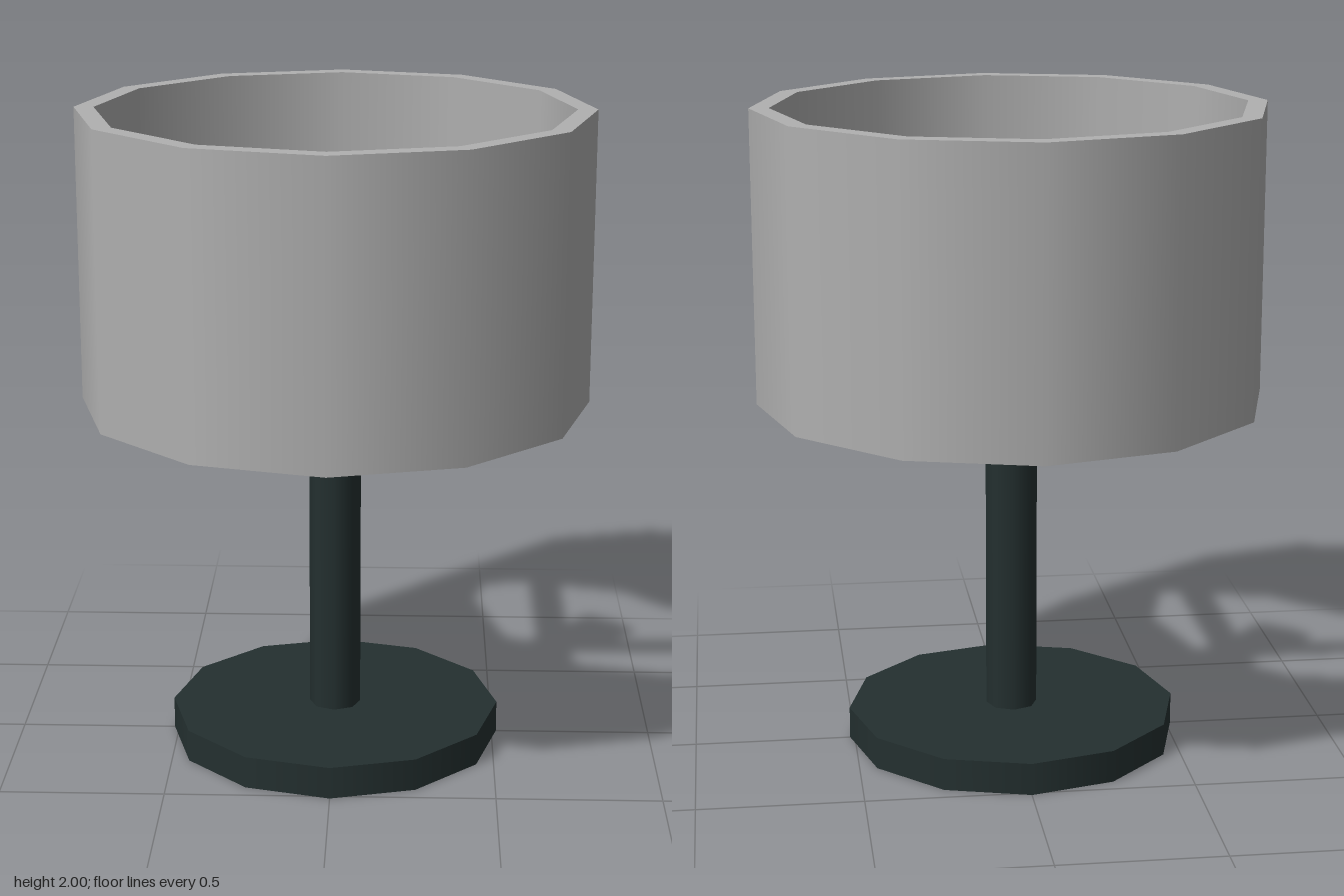
import * as THREE from 'three';

export function createModel() {
  const lamp = new THREE.Group();
  lamp.name = 'tableLamp';
  const darkMetal = new THREE.MeshStandardMaterial({ color: 0x243030 });
  darkMetal.name = 'darkMetal';
  const paleGrey = new THREE.MeshStandardMaterial({ color: 0xb0b0b0, side: THREE.DoubleSide });
  paleGrey.name = 'paleGrey';

  function add(name, geometry, material, y = 0, parent = lamp) {
    const mesh = new THREE.Mesh(geometry, material);
    mesh.name = name;
    mesh.position.y = y;
    parent.add(mesh);
    return mesh;
  }

  // Twelve-sided foot and slim stem
  add('base', new THREE.CylinderGeometry(0.515, 0.515, 0.1, 12), darkMetal, 0.05);
  add('stem', new THREE.CylinderGeometry(0.08, 0.08, 1.23, 8), darkMetal, 0.715);

  // Crossed flat bars carrying the shade
  add('crossBarX', new THREE.BoxGeometry(1.43, 0.02, 0.1), darkMetal, 1.24);
  add('crossBarZ', new THREE.BoxGeometry(0.1, 0.02, 1.43), darkMetal, 1.24);

  // Four-sided bulb: tapered lower body with a pyramid top
  const bulb = new THREE.Group();
  bulb.name = 'bulb';
  lamp.add(bulb);
  add('bulbBody', new THREE.CylinderGeometry(0.16, 0.125, 0.15, 4), paleGrey, 1.405, bulb);
  add('bulbTop', new THREE.ConeGeometry(0.16, 0.16, 4, 1, true), paleGrey, 1.56, bulb);

  // Thick open shade: outer wall, inner wall and two rims
  const shade = new THREE.Group();
  shade.name = 'shade';
  lamp.add(shade);
  const outer = 0.78, inner = 0.72, bottom = 1.1, top = 2;
  for (const [name, r] of [['outerWall', outer], ['innerWall', inner]]) {
    add(name, new THREE.CylinderGeometry(r, r, top - bottom, 12, 1, true), paleGrey, (top + bottom) / 2, shade);
  }
  for (const [name, y, turn] of [['topRim', top, -1], ['bottomRim', bottom, 1]]) {
    const rim = new THREE.RingGeometry(inner, outer, 12).rotateX(turn * Math.PI / 2);
    add(name, rim, paleGrey, y, shade);
  }

  return lamp;
}
